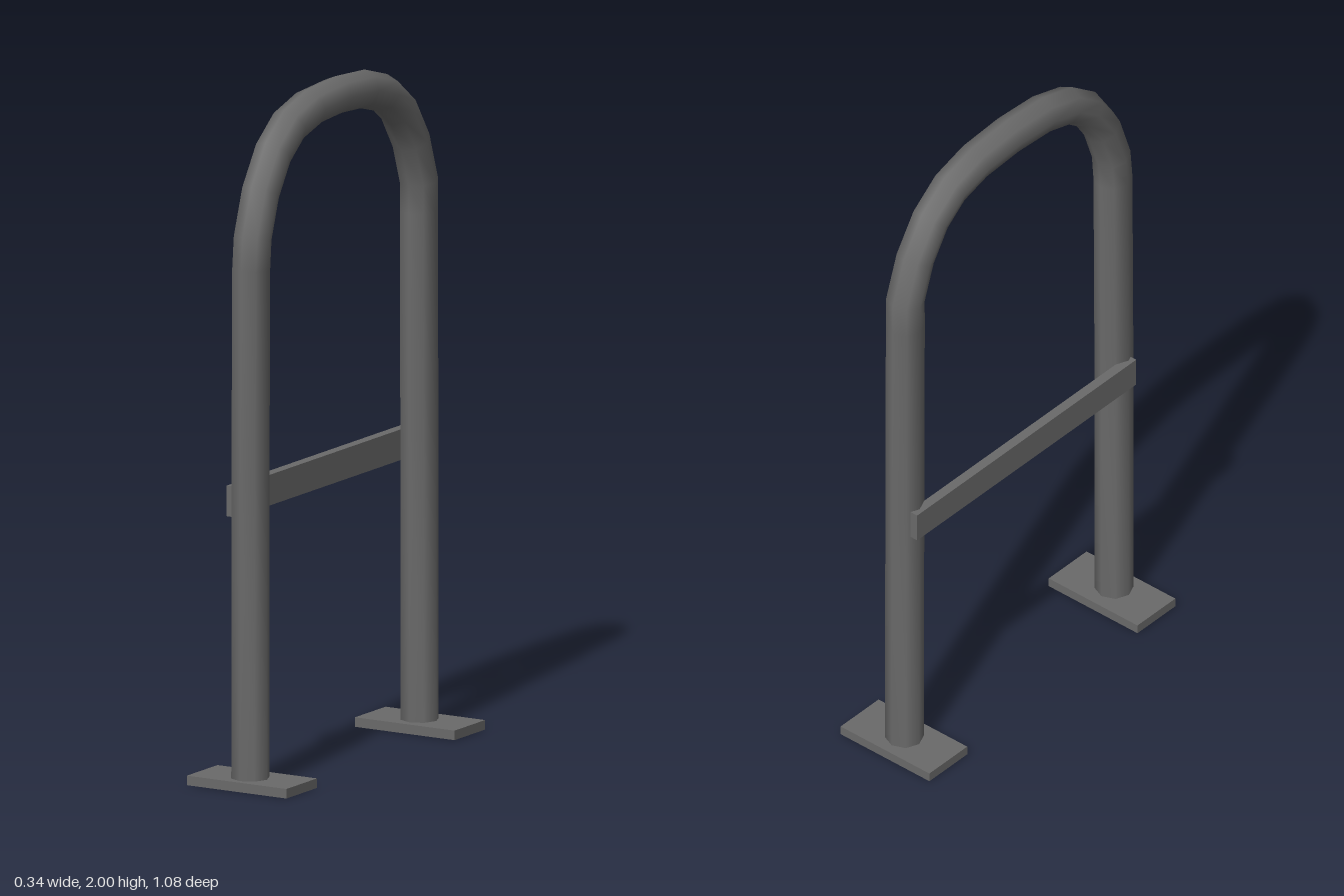
import * as THREE from 'three';

// Round tube swept along a bent path of [z, y] points, mitred at each bend
function sweepTube(path, radius, sides) {
  const pts = path.map(([z, y]) => new THREE.Vector2(z, y));
  const pos = [], idx = [];
  pts.forEach((p, i) => {
    const a = p.clone().sub(pts[Math.max(i - 1, 0)]).normalize();
    const b = pts[Math.min(i + 1, pts.length - 1)].clone().sub(p).normalize();
    const t = a.add(b).normalize();
    for (let j = 0; j < sides; j++) {
      const ang = (j / sides) * Math.PI * 2;
      const x = Math.cos(ang) * radius, n = Math.sin(ang) * radius;
      pos.push(x, p.y + t.x * n, p.x - t.y * n);
      if (i === 0) continue;
      const k = (j + 1) % sides, r0 = (i - 1) * sides, r1 = i * sides;
      idx.push(r0 + j, r1 + j, r0 + k, r0 + k, r1 + j, r1 + k);
    }
  });
  const geo = new THREE.BufferGeometry();
  geo.setAttribute('position', new THREE.Float32BufferAttribute(pos, 3));
  geo.setIndex(idx);
  geo.computeVertexNormals();
  return geo;
}

// Box without its underside
function openBox(w, h, d) {
  const geo = new THREE.BoxGeometry(w, h, d);
  const index = Array.from(geo.index.array);
  index.splice(18, 6);
  geo.setIndex(index);
  geo.clearGroups();
  return geo;
}

export function createModel() {
  const group = new THREE.Group();
  group.name = 'hoopBarrier';
  const steel = new THREE.MeshStandardMaterial({ color: 0x6a6a6a, side: THREE.DoubleSide });
  steel.name = 'grey steel';

  const add = (name, geo, x, y, z) => {
    const mesh = new THREE.Mesh(geo, steel);
    mesh.name = name;
    mesh.position.set(x, y, z);
    group.add(mesh);
  };

  // Bent hoop: front post, arch, back post
  const arch = [[0.451, 1.61], [0.408, 1.735], [0.34, 1.838], [0.255, 1.903], [0.145, 1.935]];
  const path = [
    [0.464, 0.02], [0.463, 0.9], [0.459, 1.52],
    ...arch,
    [0, 1.944],
    ...arch.map(([z, y]) => [-z, y]).reverse(),
    [-0.451, 1.52], [-0.453, 0.9], [-0.455, 0.02],
  ];
  add('hoop', sweepTube(path, 0.056, 8), 0, 0, 0);

  // Flat cross bar fixed to the side of the posts
  add('crossBar', new THREE.BoxGeometry(0.03, 0.09, 0.96), -0.055, 0.835, 0);

  // Hollow foot plates
  add('frontFootPlate', openBox(0.336, 0.028, 0.166), 0, 0.014, 0.455);
  add('backFootPlate', openBox(0.336, 0.028, 0.166), 0, 0.014, -0.457);

  return group;
}
